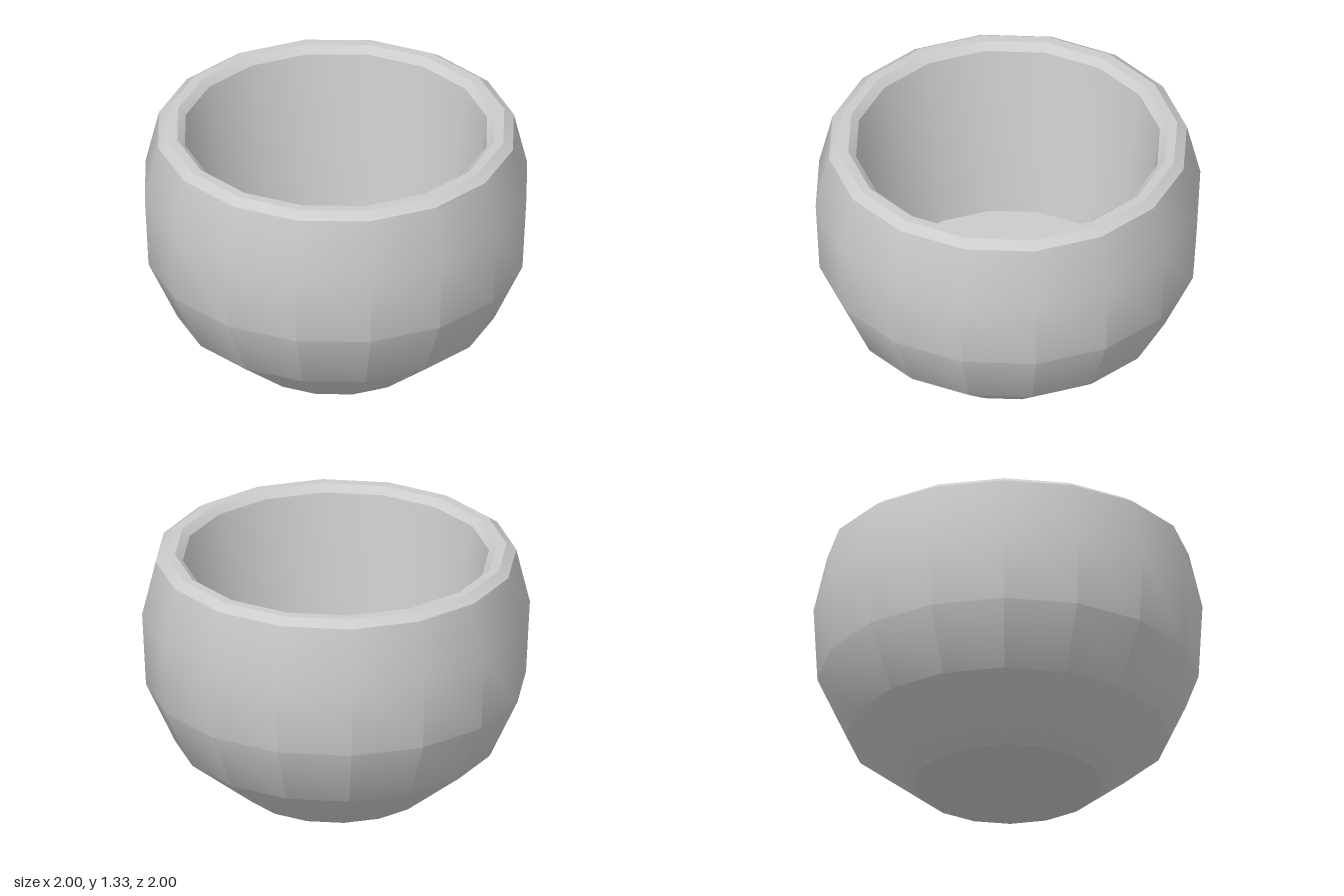
import * as THREE from 'three';
import { toCreasedNormals } from 'three/addons/utils/BufferGeometryUtils.js';

const SIDES = 16;
const material = new THREE.MeshStandardMaterial({ color: 0xcccccc });

// Sixteen-sided turned surface, smooth except across sharp edges
function turned(name, profile) {
  const points = profile.map(([r, y]) => new THREE.Vector2(r, y));
  const geometry = toCreasedNormals(new THREE.LatheGeometry(points, SIDES), THREE.MathUtils.degToRad(30));
  const mesh = new THREE.Mesh(geometry, material);
  mesh.name = name;
  return mesh;
}

export function createModel() {
  const bowl = new THREE.Group();
  bowl.name = 'bowl';

  // Flat foot and bulging outer wall
  bowl.add(turned('outerWall', [[0, 0], [0.485, 0], [0.83, 0.275], [0.98, 0.6], [1, 0.995], [0.93, 1.29]]));

  // Rim, chamfered on both edges
  bowl.add(turned('rim', [[0.93, 1.29], [0.88, 1.325], [0.83, 1.325], [0.79, 1.29]]));

  // Tapering cavity and its flat floor
  bowl.add(turned('innerWall', [[0.79, 1.29], [0.655, 0.36], [0, 0.36]]));

  return bowl;
}
